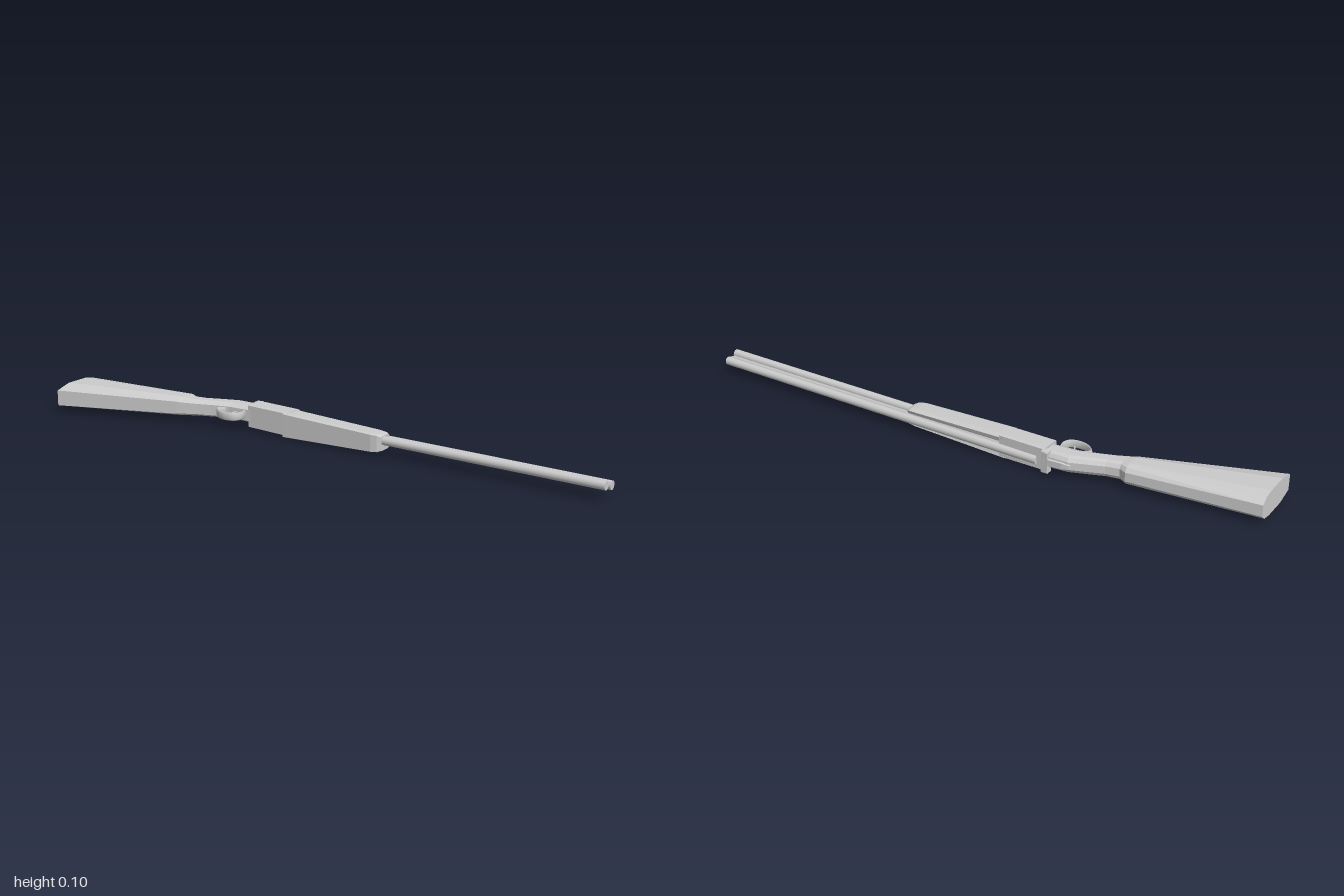
import * as THREE from 'three';

const grey = new THREE.MeshStandardMaterial({ color: 0xcccccc, flatShading: true });
const smooth = new THREE.MeshStandardMaterial({ color: 0xcccccc });

function add(parent, name, geometry, material = grey) {
  const mesh = new THREE.Mesh(geometry, material);
  mesh.name = name;
  parent.add(mesh);
  return mesh;
}

// Skin closed cross-sections { x, ring of [y, z] } in order of rising x, and cap both ends.
function loft(sections) {
  const n = sections[0].ring.length, pos = [], idx = [];
  sections.forEach(({ x, ring }) => ring.forEach(([y, z]) => pos.push(x, y, z)));
  for (let i = 0; i < sections.length - 1; i++) {
    for (let j = 0; j < n; j++) {
      const a = i * n + j, b = i * n + (j + 1) % n;
      idx.push(a, b, b + n, a, b + n, a + n);
    }
  }
  const last = (sections.length - 1) * n;
  const cap = (ring) => THREE.ShapeUtils.triangulateShape(ring.map(([y, z]) => new THREE.Vector2(y, z)), []);
  cap(sections[0].ring).forEach(([a, b, c]) => idx.push(a, c, b));
  cap(sections.at(-1).ring).forEach(([a, b, c]) => idx.push(last + a, last + b, last + c));
  const g = new THREE.BufferGeometry();
  g.setAttribute('position', new THREE.Float32BufferAttribute(pos, 3));
  g.setIndex(idx);
  const flat = g.toNonIndexed();
  flat.computeVertexNormals();
  return flat;
}

// Mirrored section: profile lists [width factor, fraction from top (-z) to belly (+z)].
function section(x, yc, hw, zTop, zBelly, profile) {
  const side = (s) => profile.map(([w, t]) => [yc + s * w * hw, zTop + t * (zBelly - zTop)]);
  return { x, ring: [...side(1), ...side(-1).reverse()] };
}

const STOCK = [[0.45, 0], [0.85, 0.1], [1, 0.28], [1, 0.7], [0.64, 1]];
const BODY = [[0.9, 0], [1, 0.12], [1, 0.9], [0.92, 1]];
// Open channel along the top, in which the barrels lie
const CHANNEL = [[0.36, 0.45], [0.42, 0.06], [0.8, 0], [1, 0.2], [1, 0.88], [0.9, 1]];

export function createModel() {
  const model = new THREE.Group();
  model.name = 'doubleBarrelGun';

  // Shoulder stock, narrowing to the wrist and grip
  add(model, 'stock', loft([
    [-1, 0.057, 0.043, -0.05, 0.149],
    [-0.57, 0.057, 0.034, -0.098, 0.004],
    [-0.545, 0.057, 0.031, -0.085, -0.006],
    [-0.5, 0.057, 0.029, -0.095, -0.024],
    [-0.45, 0.057, 0.029, -0.115, -0.042],
    [-0.39, 0.057, 0.029, -0.138, -0.06],
    [-0.3, 0.055, 0.031, -0.14, -0.068],
  ].map((s) => section(...s, STOCK))));

  // Receiver
  add(model, 'receiver', loft([
    [-0.31, 0.053, 0.041, -0.138, -0.068],
    [-0.14, 0.05, 0.042, -0.135, -0.066],
  ].map((s) => section(...s, BODY))));

  // Fore-end with a rounded nose
  add(model, 'foreEnd', loft([
    [-0.16, 0.047, 0.044, -0.136, -0.061],
    [0.19, 0.047, 0.032, -0.134, -0.063],
    [0.212, 0.047, 0.03, -0.132, -0.068],
    [0.224, 0.047, 0.025, -0.126, -0.076],
  ].map((s) => section(...s, CHANNEL))));

  // Two stacked barrels, slightly rolled, joined by a rib
  const barrels = [[0.055, -0.092], [0.044, -0.135]];
  barrels.forEach(([y, z], i) => {
    const g = new THREE.CylinderGeometry(0.0148, 0.0148, 1.28, 14).rotateZ(-Math.PI / 2);
    add(model, i ? 'upperBarrel' : 'lowerBarrel', g, smooth).position.set(0.36, y, z);
  });
  const rib = add(model, 'barrelRib', new THREE.BoxGeometry(1.27, 0.01, 0.034));
  rib.position.set(0.36, 0.0495, -0.1135);
  rib.rotation.x = Math.atan2(0.011, 0.043);

  // Breech shield standing across the back of the barrels
  add(model, 'breechShield', loft([
    [-0.325, 0.05, 0.038, -0.149, -0.122],
    [-0.302, 0.05, 0.04, -0.147, -0.12],
  ].map((s) => section(...s, BODY))));

  // Top tang and lever
  add(model, 'topLever', loft([
    [-0.4, 0.055, 0.007, -0.142, -0.128],
    [-0.375, 0.055, 0.011, -0.147, -0.128],
    [-0.31, 0.052, 0.012, -0.148, -0.128],
  ].map((s) => section(...s, BODY))));

  // Trigger guard: a flat strap bent into a bow
  const bow = new THREE.CatmullRomCurve3([
    [-0.4, -0.055], [-0.418, -0.038], [-0.4, -0.016], [-0.365, -0.005],
    [-0.33, -0.014], [-0.318, -0.04], [-0.325, -0.07],
  ].map(([x, z]) => new THREE.Vector3(x, 0, z)));
  const strap = new THREE.TubeGeometry(bow, 28, 0.0035, 8).scale(1, 4.1, 1);
  add(model, 'triggerGuard', strap, smooth).position.y = 0.06;

  // Trigger
  const blade = new THREE.CatmullRomCurve3([
    [-0.36, -0.07], [-0.362, -0.045], [-0.352, -0.025],
  ].map(([x, z]) => new THREE.Vector3(x, 0.06, z)));
  add(model, 'trigger', new THREE.TubeGeometry(blade, 8, 0.0035, 6), smooth);

  return model;
}
